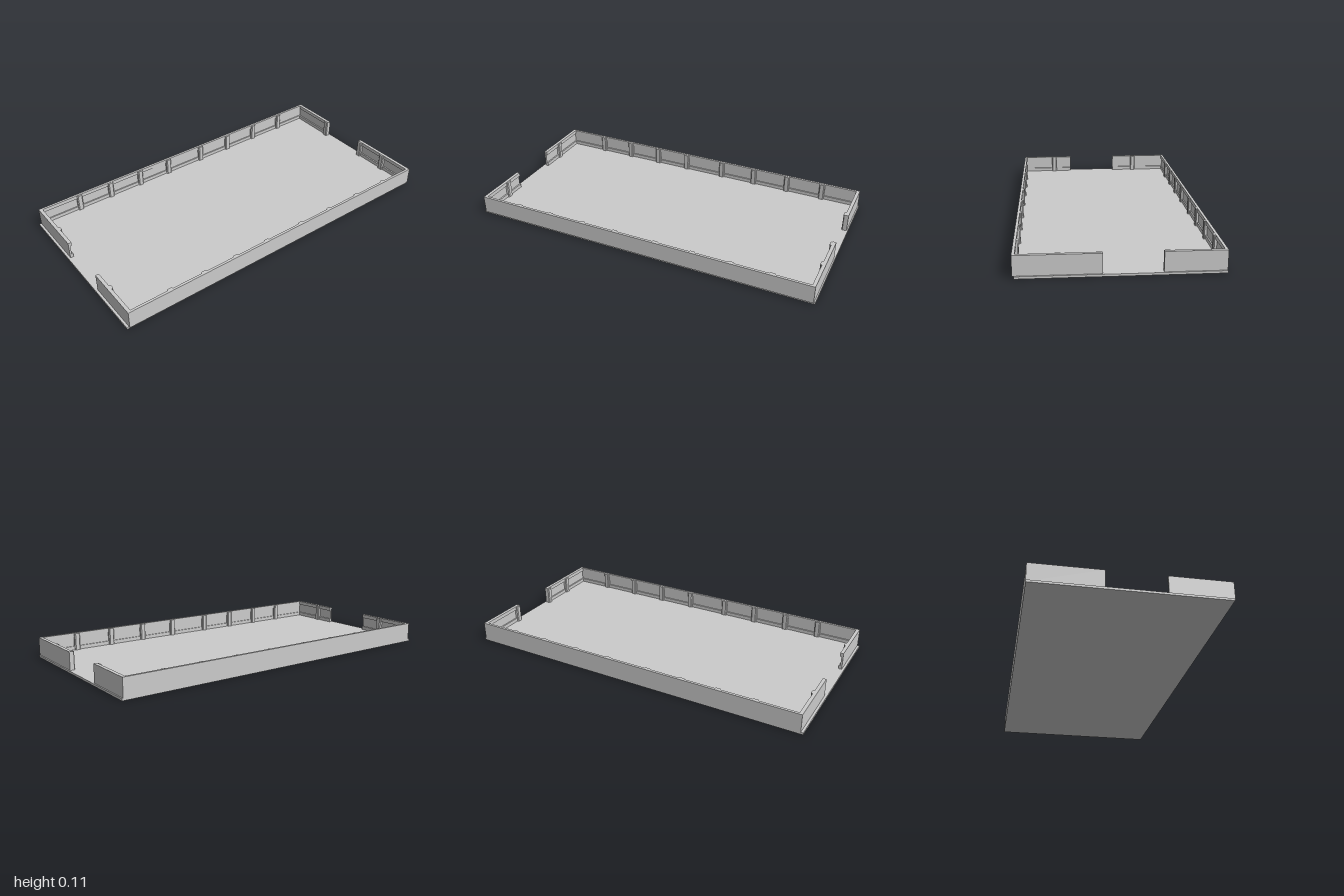
import * as THREE from 'three';

const BASE = 0.012, TOP = 0.112;        // floor surface and wall top heights
const X = 0.498, FRONT = 0.987, BACK = -0.993;

const material = new THREE.MeshStandardMaterial({ color: 0xcccccc, flatShading: true });

function part(name, geometry) {
  const mesh = new THREE.Mesh(geometry, material);
  mesh.name = name;
  return mesh;
}

function polygon(points) {
  return new THREE.Shape(points.map(([a, b]) => new THREE.Vector2(a, b)));
}

// A wall running along local +z, its inner side towards local +x.
// Rails at the bottom and top leave a recessed panel between them.
function wall(name, length, rail, panel, posts) {
  const group = new THREE.Group();
  group.name = name;
  const section = polygon([
    [0, BASE], [rail, BASE], [rail, 0.033], [panel, 0.033],
    [panel, 0.09], [rail, 0.09], [rail, TOP], [0, TOP],
  ]);
  group.add(part('railedPanel', new THREE.ExtrudeGeometry(section, { depth: length, bevelEnabled: false })));

  // Chamfered upright posts on the inner side
  const w = 0.016, d = rail + 0.01;
  const plan = polygon([
    [panel * 0.5, -w], [d - 0.005, -w], [d, -w + 0.005],
    [d, w - 0.005], [d - 0.005, w], [panel * 0.5, w],
  ]);
  for (const at of posts) {
    const geometry = new THREE.ExtrudeGeometry(plan, { depth: TOP - BASE - 0.002, bevelEnabled: false });
    geometry.rotateX(-Math.PI / 2).translate(0, BASE, at);
    group.add(part('post', geometry));
  }
  return group;
}

export function createModel() {
  const model = new THREE.Group();
  model.name = 'walledPlatform';

  // Floor slab
  const floor = part('floor', new THREE.BoxGeometry(0.988, BASE, 2));
  floor.position.set(-0.004, BASE / 2, 0);
  model.add(floor);

  // Long side walls, the right one of the pair turned to face inwards
  const sidePosts = [-0.77, -0.55, -0.335, -0.12, 0.125, 0.33, 0.535, 0.74];
  const length = FRONT - BACK;
  const right = wall('rightWall', length, 0.014, 0.007, sidePosts.map((z) => z - BACK));
  right.position.set(-X, 0, BACK);
  const left = wall('leftWall', length, 0.014, 0.007, sidePosts.map((z) => FRONT - z));
  left.position.set(X, 0, FRONT);
  left.rotation.y = Math.PI;
  model.add(right, left);

  // Short end walls, each pair leaving a gateway
  const inner = X - 0.007;
  const ends = [
    ['frontWallRight', true, -inner, -0.13, [-0.275]],
    ['frontWallLeft', true, 0.173, inner, [0.29]],
    ['backWallRight', false, -inner, -0.2, [-0.216]],
    ['backWallLeft', false, 0.083, inner, [0.099, 0.29]],
  ];
  for (const [name, isFront, x0, x1, posts] of ends) {
    const end = wall(name, x1 - x0, 0.019, 0.01, posts.map((x) => (isFront ? x - x0 : x1 - x)));
    end.rotation.y = isFront ? Math.PI / 2 : -Math.PI / 2;
    end.position.set(isFront ? x0 : x1, 0, isFront ? FRONT : BACK);
    model.add(end);
  }
  return model;
}
